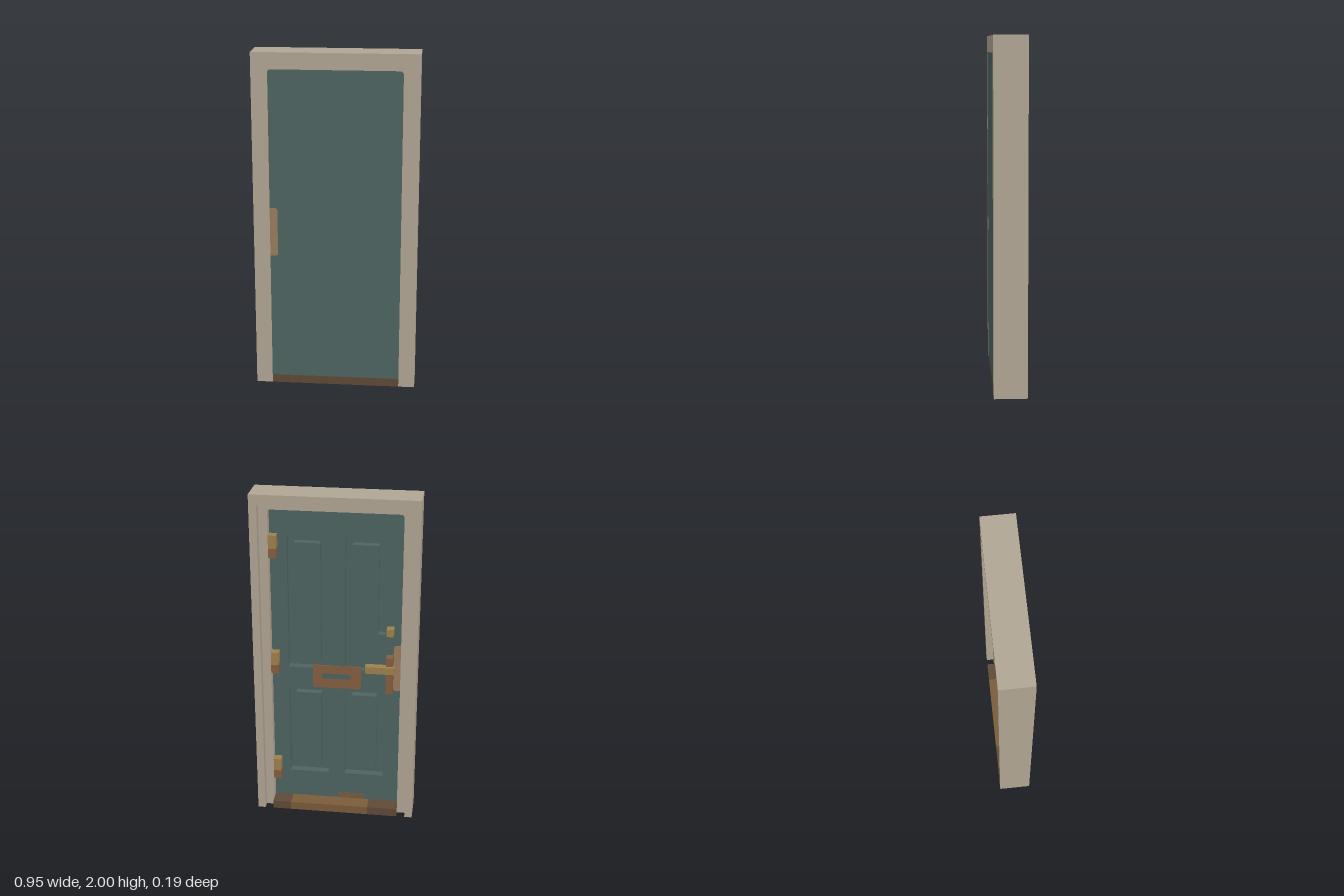
import * as THREE from 'three';

const mat = (name, color) => {
  const m = new THREE.MeshStandardMaterial({ color });
  m.name = name;
  return m;
};

export function createModel() {
  const stone = mat('warm grey frame', 0xb1a694);
  const teal = mat('dark teal paint', 0x4f6562);
  const wood = mat('dark brown wood', 0x5f4a37);
  const worn = mat('worn brown wood', 0x7a5c3a);
  const copper = mat('copper lock plate', 0x9b7d5d);
  const bronze = mat('bronze', 0x855f40);
  const brass = mat('brass', 0xa0814c);

  const model = new THREE.Group();
  model.name = 'door';

  const add = (name, geometry, material) => {
    const mesh = new THREE.Mesh(geometry, material);
    mesh.name = name;
    model.add(mesh);
    return mesh;
  };
  // Box given by its limits on each axis
  const box = (name, material, x0, x1, y0, y1, z0, z1) => {
    const mesh = add(name, new THREE.BoxGeometry(x1 - x0, y1 - y0, z1 - z0), material);
    mesh.position.set((x0 + x1) / 2, (y0 + y1) / 2, (z0 + z1) / 2);
    return mesh;
  };
  const outline = (points) => new THREE.Shape(points.map(([x, y]) => new THREE.Vector2(x, y)));
  const slab = (name, material, shape, z0, z1) => {
    const geometry = new THREE.ExtrudeGeometry(shape, { depth: z1 - z0, bevelEnabled: false });
    add(name, geometry.translate(0, 0, z0), material);
  };

  // Frame: an upside-down U, with a wider opening in the back layer
  const c = 0.012;
  const arch = (w, h) => outline([
    [-0.475, 0], [-w, 0], [-w, h - c], [-w + c, h], [w - c, h], [w, h - c],
    [w, 0], [0.475, 0], [0.475, 2], [-0.475, 2],
  ]);
  slab('frameBack', stone, arch(0.43, 1.95), -0.095, -0.05);
  slab('frameFront', stone, arch(0.38, 1.905), -0.05, 0.095);

  // Door leaf: plain front layer, back layer cut by four panel recesses
  const leaf = () => outline([
    [-0.38, 0.05], [0.38, 0.05], [0.38, 1.905 - c], [0.38 - c, 1.905],
    [-0.38 + c, 1.905], [-0.38, 1.905 - c],
  ]);
  slab('doorFront', teal, leaf(), 0.045, 0.095);
  const back = leaf();
  const inset = 0.042;
  for (const side of [1, -1]) {
    for (const [y0, y1] of [[0.225, 0.805], [0.93, 1.745]]) {
      const [x0, x1] = side > 0 ? [0.05, 0.283] : [-0.283, -0.05];
      back.holes.push(new THREE.Path([
        new THREE.Vector2(x0, y0), new THREE.Vector2(x0, y1),
        new THREE.Vector2(x1, y1), new THREE.Vector2(x1, y0),
      ]));
      box('raisedPanel', teal, x0 + inset, x1 - inset, y0 + inset, y1 - inset, 0.002, 0.046);
    }
  }
  slab('doorBack', teal, back, 0, 0.045);

  // Lock: solid block in the leaf, plate through the edge, handle and bolt
  box('lockBlock', teal, -0.3, -0.24, 0.705, 1.165, 0.001, 0.046);
  const plate = outline([
    [-0.38, 0.81], [-0.345, 0.81], [-0.335, 0.82], [-0.335, 1.09], [-0.345, 1.1], [-0.38, 1.1],
  ]);
  slab('lockPlate', copper, plate, -0.002, 0.0965);
  box('handlePlate', bronze, -0.336, -0.295, 0.81, 1.04, -0.05, 0.002);
  box('lever', brass, -0.345, -0.175, 0.945, 0.987, -0.07, -0.025);
  box('deadbolt', brass, -0.336, -0.295, 1.175, 1.22, -0.05, 0.002);

  // Letter plate with its slot
  box('letterPlate', bronze, -0.145, 0.138, 0.807, 0.95, -0.004, 0.002);
  box('letterSlot', teal, -0.085, 0.085, 0.868, 0.9, -0.006, -0.003);

  // Hinges
  for (const y of [0.255, 0.97, 1.688]) {
    box('hingeTop', brass, 0.335, 0.38, y - 0.012, y + 0.066, -0.05, 0.002);
    box('hingeBottom', bronze, 0.335, 0.38, y - 0.066, y - 0.012, -0.05, 0.002);
  }

  // Threshold with a worn middle on the back half
  box('thresholdFront', wood, -0.38, 0.38, 0, 0.05, 0, 0.095);
  box('thresholdRight', wood, -0.38, -0.2, 0, 0.05, -0.095, 0);
  box('thresholdWorn', worn, -0.2, 0.27, 0, 0.05, -0.095, 0);
  box('thresholdLeft', wood, 0.27, 0.38, 0, 0.05, -0.095, 0);
  box('scuff', worn, -0.165, -0.015, 0.05, 0.085, -0.002, 0.002);

  return model;
}
